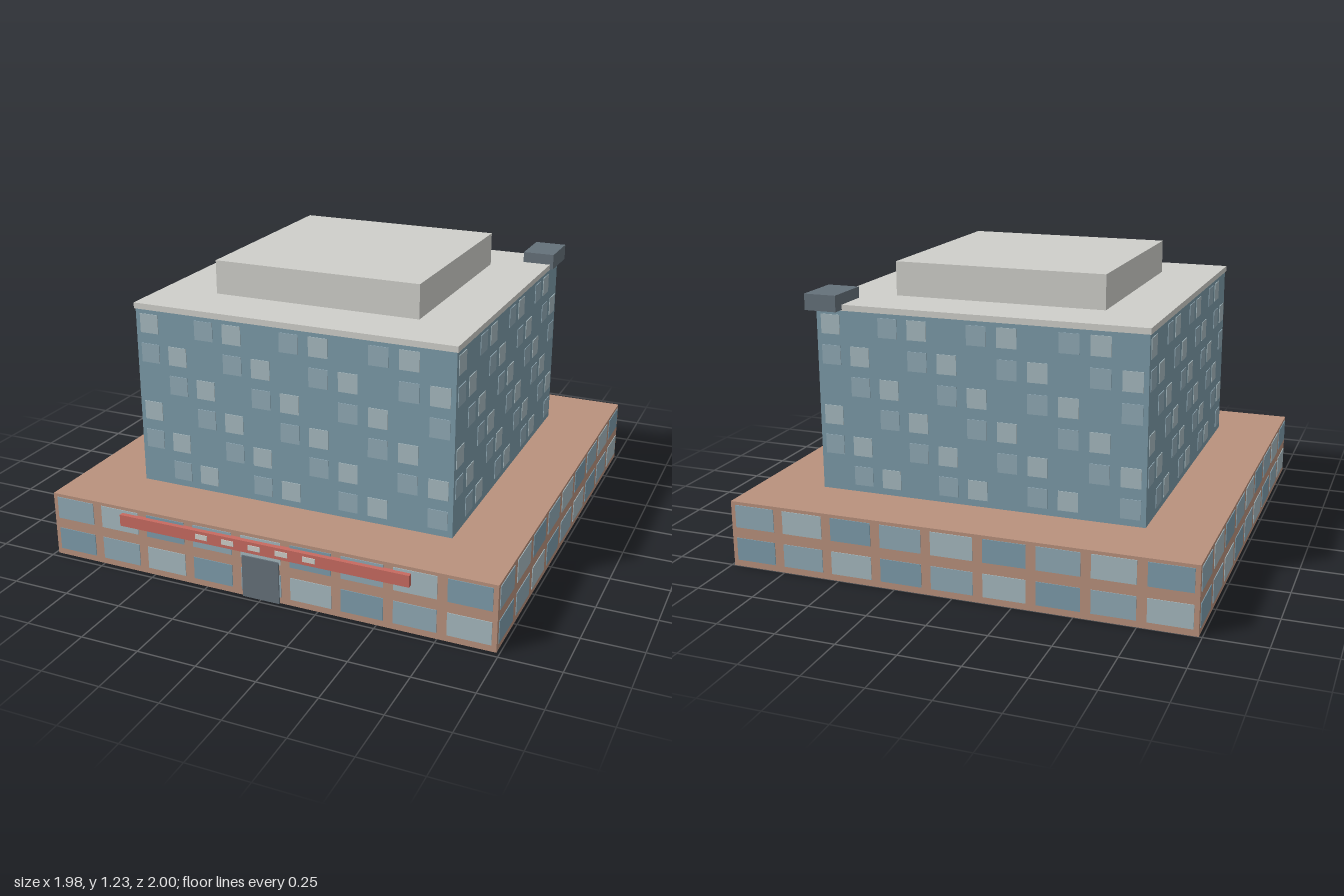
import * as THREE from 'three';

const mat = (color) => new THREE.MeshStandardMaterial({ color });
const MAT = {
  brick: mat(0xb9917d), wall: mat(0x7b9aa8), roof: mat(0xcfcfca),
  dark: mat(0x65717a), sign: mat(0xc76a60),
};
// Window tints, cycled diagonally across every facade
const TINTS = [mat(0x7d9cab), mat(0x90a9b5), mat(0xa6b9bf)];
const CZ = -0.0135; // depth centre of the stacked volumes

// Box given by its centre x/z, base height and size
function box(name, material, w, h, d, x, y0, z) {
  const mesh = new THREE.Mesh(new THREE.BoxGeometry(w, h, d), material);
  mesh.name = name;
  mesh.position.set(x, y0 + h / 2, z);
  return mesh;
}

// Grid of thin panes on all four sides of a square volume
function windows(name, o) {
  const all = new THREE.Group();
  all.name = name;
  all.position.z = CZ;
  const geo = new THREE.BoxGeometry(o.w, o.h, 0.006);
  for (let side = 0; side < 4; side++) {
    const facade = new THREE.Group();
    facade.name = name + 'Facade';
    facade.rotation.y = side * Math.PI / 2;
    for (let r = 0; r < o.rows; r++) {
      for (let c = 0; c < o.cols; c++) {
        const tint = (c + r) % 3;
        if (tint === 0 && o.skipDark) continue;
        const pane = new THREE.Mesh(geo, TINTS[tint]);
        pane.name = 'windowPane';
        pane.position.set((c - (o.cols - 1) / 2) * o.pitchX, o.y + r * o.pitchY, o.half);
        facade.add(pane);
      }
    }
    all.add(facade);
  }
  return all;
}

export function createModel() {
  const g = new THREE.Group();
  g.name = 'building';

  // Wide brick podium
  g.add(box('podium', MAT.brick, 1.974, 0.285, 1.974, 0, 0, CZ));
  g.add(windows('podiumWindows', {
    rows: 2, cols: 9, w: 0.178, h: 0.098, pitchX: 0.2195, pitchY: 0.145, y: 0.077, half: 0.987,
  }));

  // Glazed tower; the darkest panes merge with its wall
  g.add(box('tower', MAT.wall, 1.41, 0.775, 1.41, 0, 0.285, CZ));
  g.add(windows('towerWindows', {
    rows: 6, cols: 11, w: 0.084, h: 0.082, pitchX: 0.1285, pitchY: 0.129, y: 0.355, half: 0.705,
    skipDark: true,
  }));

  // Roof slab, plant storey and corner unit
  g.add(box('roofSlab', MAT.roof, 1.42, 0.025, 1.42, 0, 1.06, CZ));
  g.add(box('plantStorey', MAT.roof, 0.916, 0.145, 0.916, 0, 1.085, CZ));
  g.add(box('cornerUnit', MAT.dark, 0.14, 0.068, 0.208, 0.655, 1.064, -0.673));

  // Entrance door and plain sign band with pale blocks
  g.add(box('door', MAT.dark, 0.164, 0.185, 0.02, 0, 0, 0.972));
  g.add(box('signBand', MAT.sign, 1.285, 0.05, 0.03, 0, 0.21, 0.982));
  for (let i = -2; i <= 2; i++) {
    g.add(box('signBlock', MAT.roof, 0.054, 0.022, 0.008, -0.016 + i * 0.12, 0.225, 0.996));
  }
  return g;
}
